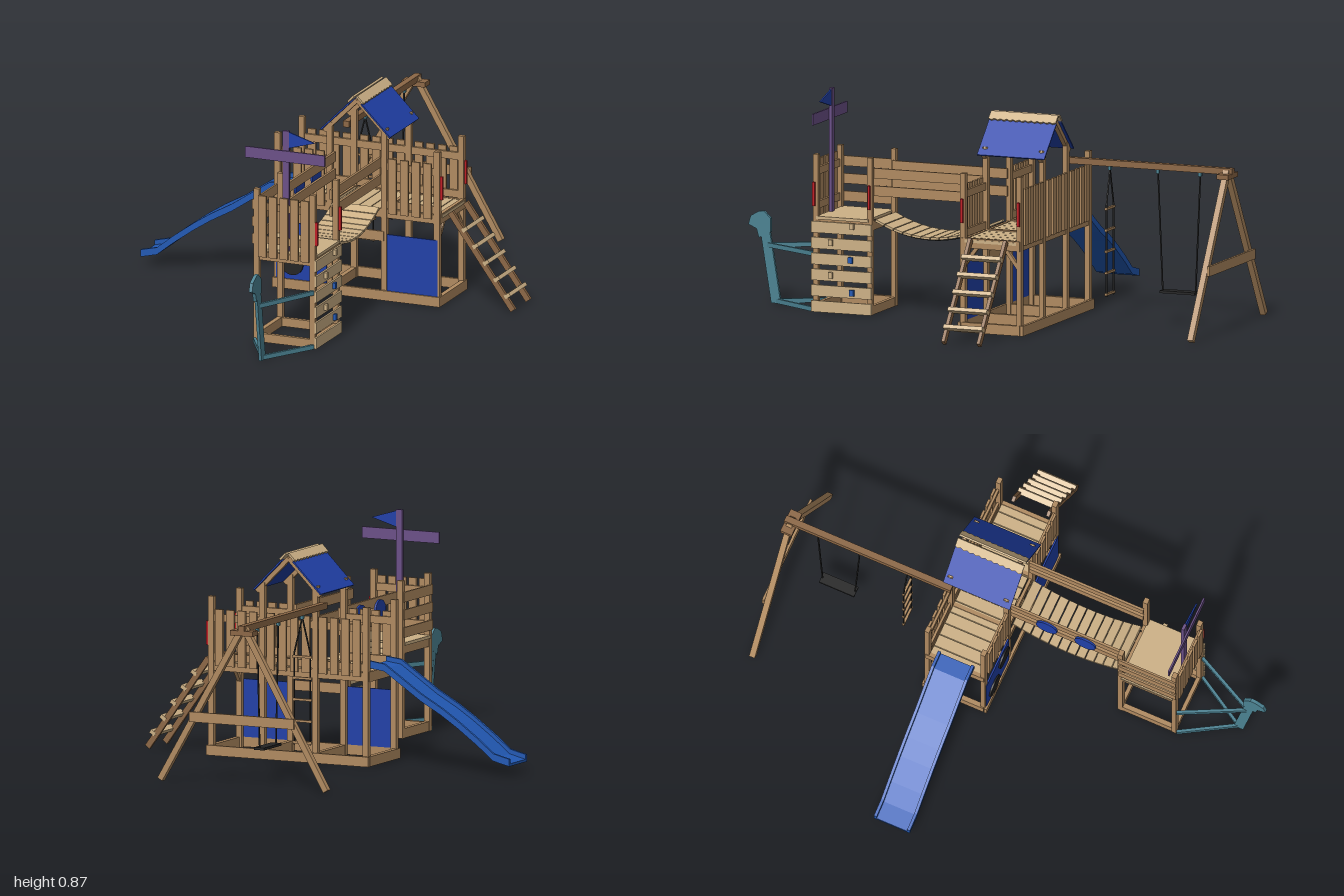
import * as THREE from 'three';

const mat = (name, color, side = THREE.FrontSide) => {
  const m = new THREE.MeshStandardMaterial({ color, side });
  m.name = name;
  return m;
};

export function createModel() {
  const wood = mat('wood', 0xb08a60), dark = mat('dark wood', 0x8d6846), tan = mat('pale boards', 0xcdb186);
  const blue = mat('blue panel', 0x2040a8, THREE.DoubleSide), slideBlue = mat('slide blue', 0x2259b4);
  const teal = mat('teal', 0x4b8292), purple = mat('purple', 0x6b5088), red = mat('red', 0xc01c24), black = mat('black', 0x242424);
  const root = new THREE.Group();
  root.name = 'playground';
  const section = (name) => { const g = new THREE.Group(); g.name = name; root.add(g); return g; };
  const add = (g, name, geo, m) => { const o = new THREE.Mesh(geo, m); o.name = name; g.add(o); return o; };
  // Box from its limits on each axis
  const box = (g, name, m, x0, x1, y0, y1, z0, z1) => {
    const o = add(g, name, new THREE.BoxGeometry(x1 - x0, y1 - y0, z1 - z0), m);
    o.position.set((x0 + x1) / 2, (y0 + y1) / 2, (z0 + z1) / 2);
    return o;
  };
  // Straight bar between two points; w lies sideways, t lies across
  const bar = (g, name, m, a, b, w, t) => {
    const A = new THREE.Vector3(...a), B = new THREE.Vector3(...b);
    const o = add(g, name, new THREE.BoxGeometry(w, t, A.distanceTo(B)), m);
    o.position.copy(A).add(B).multiplyScalar(0.5);
    o.lookAt(B);
    return o;
  };
  const shape = (pts) => new THREE.Shape(pts.map((p) => new THREE.Vector2(...p)));
  const extrude = (pts, depth) => new THREE.ExtrudeGeometry(shape(pts), { depth, bevelEnabled: false });
  // Upright slats spread evenly over a bay
  const slats = (g, n, x0, x1, y0, y1, z) => {
    const pitch = (x1 - x0) / n;
    for (let i = 0; i < n; i++) {
      const x = x0 + pitch * (i + 0.5);
      box(g, 'railingSlat', wood, x - 0.017, x + 0.017, y0, y1, z - 0.005, z + 0.005);
    }
  };

  // Main platform: posts, base frame, joists, deck
  const main = section('mainPlatform');
  for (const z of [-0.3, -0.06]) {
    [[-0.193, 0.64], [0.03, 0.71], [0.263, 0.71], [0.488, 0.64]].forEach(([x, h]) =>
      box(main, 'post', wood, x - 0.0125, x + 0.0125, 0.01, h, z - 0.01, z + 0.01));
    const s = z < -0.2 ? -1 : 1, zo = z + s * 0.013;
    box(main, 'baseBeam', wood, -0.21, 0.505, 0.01, 0.05, zo - 0.006, zo + 0.006);
    box(main, 'deckBeam', wood, -0.2, 0.5, 0.345, 0.38, z - 0.006, z + 0.006);
  }
  for (const x of [-0.2, 0.03, 0.263, 0.495]) {
    box(main, 'sideBase', wood, x - 0.01, x + 0.01, 0.01, 0.05, -0.305, -0.055);
    box(main, 'sideBeam', wood, x - 0.008, x + 0.008, 0.345, 0.385, -0.305, -0.055);
  }
  for (let i = 0; i < 14; i++) {
    const x = -0.207 + i * 0.0511;
    box(main, 'deckBoard', tan, x, x + 0.048, 0.368, 0.38, -0.29, -0.07);
  }
  box(main, 'counter', wood, 0.03, 0.263, 0.25, 0.29, -0.058, -0.048);
  for (const z of [-0.3, -0.06]) {
    const s = z < -0.2 ? 1 : -1;
    bar(main, 'brace', wood, [0.488, 0.27, z], [0.488, 0.35, z + s * 0.06], 0.015, 0.015);
  }

  // Railings of the main platform
  const rails = section('railings');
  for (const [x0, x1, n, sides] of [[-0.18, 0.018, 4, [-0.31, -0.05]], [0.042, 0.25, 4, [-0.31]], [0.276, 0.475, 4, [-0.31, -0.05]]])
    for (const z of sides) {
      slats(rails, n, x0, x1, 0.365, 0.59, z);
      const zi = z < -0.2 ? z + 0.01 : z - 0.01;
      for (const y of [0.4, 0.555]) box(rails, 'railingBeam', wood, x0 - 0.01, x1 + 0.01, y - 0.015, y + 0.015, zi - 0.005, zi + 0.005);
    }

  // Play panels with two round black boards
  const panels = section('playPanels');
  for (const x of [-0.195, 0.278]) box(panels, 'bluePanel', blue, x, x + 0.215, 0.05, 0.28, -0.054, -0.047);
  for (const [x, y] of [[-0.035, 0.21], [-0.125, 0.115]]) {
    const d = add(panels, 'roundBoard', new THREE.CylinderGeometry(0.047, 0.047, 0.008, 28), black);
    d.rotation.x = Math.PI / 2;
    d.position.set(x, y, -0.044);
  }

  // Pitched roof: blue sheets, scalloped ridge boards, rafters
  const roof = section('roof');
  const cx = 0.147;
  for (const s of [-1, 1]) {
    for (const z of [-0.3, -0.06])
      bar(roof, 'rafter', wood, [cx + s * 0.14, 0.672, z], [cx, 0.812, z], 0.018, 0.018);
    bar(roof, 'roofSheet', blue, [cx + s * 0.148, 0.68, -0.178], [cx + s * 0.025, 0.803, -0.178], 0.286, 0.006);
    const edge = [[-0.143, 0.042], [0.143, 0.042]];
    for (let i = 0; i <= 22; i++) edge.push([0.143 - i * 0.013, i % 2 ? 0 : 0.006]);
    const ridge = add(roof, 'ridgeBoard', extrude(edge, 0.008), tan);
    const u = new THREE.Vector3(0, 0, -s), v = new THREE.Vector3(-s, 1, 0).normalize();
    ridge.quaternion.setFromRotationMatrix(new THREE.Matrix4().makeBasis(u, v, u.clone().cross(v)));
    ridge.position.set(cx + s * 0.033, 0.8, -0.178);
    for (const z of [-0.3, -0.06]) {
      const bolt = add(roof, 'roofBolt', new THREE.SphereGeometry(0.007, 8, 6), tan);
      bolt.position.set(cx + s * 0.125, 0.705, z);
    }
  }

  // Front tower with left rail boards and a railing across the bow
  const tower = section('frontTower');
  for (const x of [0.03, 0.268]) {
    for (const z of [0.43, 0.66]) box(tower, 'post', wood, x - 0.012, x + 0.012, 0.01, 0.635, z - 0.01, z + 0.01);
    for (const y of [0.01, 0.345]) box(tower, 'sideBeam', wood, x - 0.01, x + 0.01, y, y + 0.038, 0.42, 0.67);
  }
  for (const z of [0.43, 0.66])
    for (const y of [0.01, 0.345]) box(tower, 'crossBeam', wood, 0.02, 0.28, y, y + 0.035, z - 0.008, z + 0.008);
  box(tower, 'deck', tan, 0.013, 0.285, 0.378, 0.39, 0.435, 0.655);
  slats(tower, 5, 0.035, 0.262, 0.36, 0.61, 0.673);
  for (const y of [0.43, 0.565]) box(tower, 'railingBeam', wood, 0.03, 0.268, y - 0.015, y + 0.015, 0.658, 0.668);
  for (const y of [0.41, 0.48, 0.55]) box(tower, 'sideRail', wood, 0.012, 0.02, y, y + 0.04, 0.425, 0.67);

  // Climbing wall
  for (let i = 0; i < 6; i++) box(tower, 'climbingBoard', tan, 0.28, 0.288, 0.01 + i * 0.063, 0.055 + i * 0.063, 0.42, 0.675);
  [[0.5, 0.36], [0.59, 0.29], [0.505, 0.225], [0.59, 0.16], [0.5, 0.095]].forEach(([z, y], i) =>
    box(tower, 'climbingHold', i === 2 || i === 4 ? slideBlue : tan, 0.288, 0.3, y - 0.012, y + 0.012, z - 0.009, z + 0.009));

  // Red grab handles
  for (const [x, y, zs] of [[0.286, 0.43, [0.43, 0.665]], [0.507, 0.445, [-0.3, -0.06]]])
    for (const z of zs) box(root, 'grabHandle', red, x - 0.006, x + 0.004, y, y + 0.095, z - 0.005, z + 0.005);

  // Hanging bridge with side boards and portholes
  const bridge = section('bridge');
  const sag = (z) => 0.325 + 0.06 * ((z - 0.19) / 0.235) ** 2;
  for (let i = 0; i < 12; i++) {
    const a = -0.045 + i * 0.039, b = a + 0.035;
    bar(bridge, 'bridgeSlat', tan, [cx, sag(a), a], [cx, sag(b), b], 0.198, 0.009);
  }
  const sagPts = Array.from({ length: 11 }, (_, i) => -0.05 + i * 0.048);
  for (const x of [0.065, 0.229]) {
    const path = new THREE.CatmullRomCurve3(sagPts.map((z) => new THREE.Vector3(x, sag(z) - 0.006, z)));
    add(bridge, 'bridgeChain', new THREE.TubeGeometry(path, 24, 0.004, 5), black);
  }
  for (const x of [0.05, 0.244])
    for (const y of [0.48, 0.55]) box(bridge, 'bridgeRail', wood, x - 0.005, x + 0.005, y, y + 0.04, -0.06, 0.43);
  for (const z of [0.27, 0.105]) {
    const d = add(bridge, 'porthole', new THREE.CylinderGeometry(0.045, 0.045, 0.008, 24), blue);
    d.rotation.z = Math.PI / 2;
    d.position.set(0.041, 0.535, z);
  }

  // Mast, yard and flag
  const mast = section('mast');
  box(mast, 'mastPole', purple, 0.135, 0.161, 0.39, 0.88, 0.64, 0.653);
  box(mast, 'yard', purple, -0.022, 0.317, 0.755, 0.8, 0.653, 0.66);
  add(mast, 'flag', extrude([[0.16, 0.81], [0.27, 0.842], [0.16, 0.875]], 0.006), blue).position.z = 0.643;

  // Bow: two V frames, a raked stem and a figurehead
  const bow = section('bow');
  for (const [y, z] of [[0.017, 0.88], [0.238, 0.92]])
    for (const s of [-1, 1]) bar(bow, 'bowRail', teal, [cx + s * 0.125, y, 0.67], [cx, y, z], 0.012, 0.018);
  const cut = (name, pts, w) => {
    const o = add(bow, name, extrude(pts.map(([z, y]) => [-z, y]).reverse(), w), teal);
    o.rotation.y = Math.PI / 2;
    o.position.x = cx - w / 2;
  };
  cut('stem', [[0.862, 0.008], [0.903, 0.008], [0.952, 0.31], [0.912, 0.31]], 0.012);
  cut('figurehead', [[0.905, 0.29], [0.955, 0.265], [0.965, 0.3], [1, 0.315], [0.99, 0.35], [0.955, 0.37], [0.935, 0.372], [0.905, 0.345]], 0.014);

  // Slide: a wavy bed with raised sides
  const slide = section('slide');
  const run = [[-0.185, 0.408], [-0.25, 0.4], [-0.31, 0.36], [-0.41, 0.293], [-0.5, 0.243], [-0.57, 0.198], [-0.66, 0.133], [-0.73, 0.077], [-0.8, 0.06]];
  const band = (lo, hi) => [...run.map(([x, y]) => [x, y + hi]), ...run.slice().reverse().map(([x, y]) => [x, y + lo])];
  add(slide, 'slideBed', extrude(band(-0.015, -0.005), 0.155), slideBlue).position.z = -0.26;
  for (const z of [-0.26, -0.117]) add(slide, 'slideSide', extrude(band(-0.015, 0.014), 0.012), slideBlue).position.z = z;

  // Ladder
  const ladder = section('ladder');
  for (const z of [-0.105, -0.255]) bar(ladder, 'ladderRail', dark, [0.525, 0.385, z], [0.793, 0.015, z], 0.014, 0.024);
  for (let i = 0; i < 5; i++) {
    const y = 0.065 + i * 0.0625, x = 0.793 - (y - 0.015) * 0.724 + 0.012;
    const r = box(ladder, 'rung', tan, x - 0.013, x + 0.013, y, y + 0.016, -0.263, -0.097);
    r.rotation.z = 0.6;
  }

  // Swing frame: beam, splayed legs, tie and top bracket
  const swing = section('swingFrame');
  box(swing, 'swingBeam', dark, -0.013, 0.013, 0.62, 0.645, -1, -0.285);
  for (const s of [-1, 1]) bar(swing, 'swingLeg', wood, [s * 0.365, 0.012, -0.975], [s * 0.005, 0.632, -0.975], 0.024, 0.024);
  box(swing, 'legTie', wood, -0.23, 0.23, 0.25, 0.29, -0.997, -0.987);
  box(swing, 'topBracket', dark, -0.05, 0.05, 0.605, 0.625, -0.999, -0.95);

  // Swing seat on two chains
  box(swing, 'swingSeat', black, -0.022, 0.022, 0.133, 0.143, -0.845, -0.695);
  for (const [a, b] of [[-0.68, -0.7], [-0.86, -0.84]]) {
    box(swing, 'swingHanger', teal, -0.007, 0.007, 0.605, 0.622, a - 0.006, a + 0.006);
    bar(swing, 'swingChain', black, [0, 0.61, a], [0, 0.14, b], 0.005, 0.005);
  }
  // Rope ladder
  box(swing, 'ropeHanger', teal, -0.007, 0.007, 0.605, 0.622, -0.481, -0.469);
  for (const s of [-1, 1]) {
    bar(swing, 'ropeTop', black, [0, 0.61, -0.475], [s * 0.035, 0.47, -0.475], 0.005, 0.005);
    bar(swing, 'rope', black, [s * 0.035, 0.47, -0.475], [s * 0.035, 0.105, -0.475], 0.005, 0.005);
  }
  for (let i = 0; i < 5; i++) box(swing, 'ropeRung', wood, -0.043, 0.043, 0.11 + i * 0.085, 0.119 + i * 0.085, -0.48, -0.47);

  return root;
}
